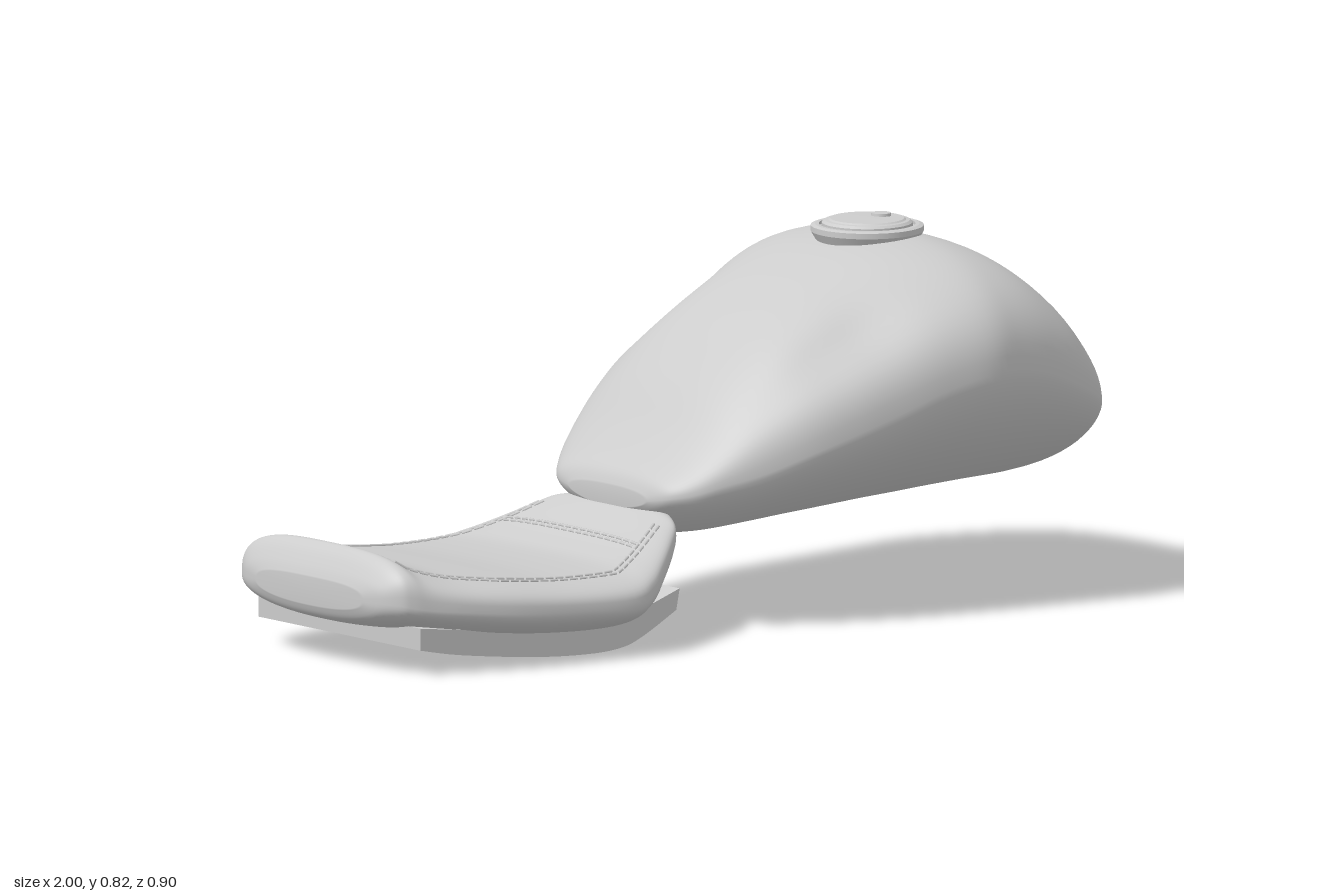
import * as THREE from 'three';
import { mergeGeometries } from 'three/addons/utils/BufferGeometryUtils.js';

// Smoothly resample rows of station values (Catmull-Rom)
function resample(rows, steps) {
  const out = [];
  const n = rows.length - 1;
  for (let i = 0; i <= n * steps; i++) {
    const k = Math.min(Math.floor(i / steps), n - 1);
    const t = i / steps - k;
    const [a, b, c, d] = [rows[Math.max(k - 1, 0)], rows[k], rows[k + 1], rows[Math.min(k + 2, n)]];
    out.push(b.map((v, j) => v + 0.5 * t * (c[j] - a[j]
      + t * (2 * a[j] - 5 * v + 4 * c[j] - d[j] + t * (3 * (v - c[j]) + d[j] - a[j])))));
  }
  return out;
}

// Loft rounded sections along x; station = [x, bottom, widest height, top, half width]
function loft(stations, upper, lower, shape = () => 1, around = 72) {
  const pos = [], index = [];
  for (const [x, y0, ym, y1, w] of stations) {
    for (let j = 0; j < around; j++) {
      const a = (j / around) * Math.PI * 2;
      const c = Math.cos(a), s = Math.sin(a);
      const p = 2 / (s >= 0 ? upper : lower);
      const f = shape(x, a);
      const h = s >= 0 ? y1 - ym : ym - y0;
      pos.push(x, ym + f * h * Math.sign(s) * Math.abs(s) ** p, f * w * Math.sign(c) * Math.abs(c) ** p);
    }
  }
  const last = stations.length - 1;
  for (let i = 0; i < last; i++) {
    for (let j = 0; j < around; j++) {
      const k = (j + 1) % around;
      const a = i * around + j, b = a + around, c = i * around + k, d = c + around;
      index.push(a, b, c, c, b, d);
    }
  }
  // End caps
  for (const i of [0, last]) {
    const centre = pos.length / 3;
    pos.push(stations[i][0], stations[i][2], 0);
    for (let j = 0; j < around; j++) {
      const a = i * around + j, b = i * around + (j + 1) % around;
      if (i === 0) index.push(centre, a, b);
      else index.push(centre, b, a);
    }
  }
  const g = new THREE.BufferGeometry();
  g.setAttribute('position', new THREE.Float32BufferAttribute(pos, 3));
  g.setIndex(index);
  g.computeVertexNormals();
  return g;
}

export function createModel() {
  const model = new THREE.Group();
  const grey = new THREE.MeshStandardMaterial({ color: 0xcccccc });
  grey.name = 'plain grey';
  const add = (name, geometry, parent = model) => {
    const mesh = new THREE.Mesh(geometry, grey);
    mesh.name = name;
    parent.add(mesh);
    return mesh;
  };

  // Fuel tank: teardrop with a knee hollow on each side
  const tank = resample([
    [-0.18, 0.26, 0.285, 0.305, 0.13],
    [-0.165, 0.24, 0.295, 0.335, 0.19],
    [-0.13, 0.212, 0.305, 0.37, 0.235],
    [-0.08, 0.193, 0.325, 0.425, 0.275],
    [0, 0.188, 0.35, 0.52, 0.32],
    [0.1, 0.193, 0.39, 0.61, 0.363],
    [0.2, 0.199, 0.425, 0.675, 0.39],
    [0.3, 0.204, 0.46, 0.723, 0.41],
    [0.42, 0.21, 0.505, 0.765, 0.433],
    [0.53, 0.215, 0.53, 0.783, 0.45],
    [0.62, 0.219, 0.528, 0.779, 0.436],
    [0.72, 0.223, 0.505, 0.745, 0.415],
    [0.82, 0.227, 0.465, 0.675, 0.385],
    [0.9, 0.238, 0.43, 0.585, 0.34],
    [0.95, 0.262, 0.405, 0.51, 0.29],
    [0.985, 0.308, 0.39, 0.445, 0.235],
    [1, 0.35, 0.38, 0.405, 0.16],
  ], 5);
  const kneeHollow = (x, a) => {
    const side = a > Math.PI / 2 ? Math.PI - a : a;
    const along = (x - 0.25) / (x < 0.25 ? 0.2 : 0.15);
    return 1 - 0.085 * Math.exp(-along * along - ((side - 0.72) / 0.33) ** 2);
  };
  add('fuelTank', loft(tank, 2.4, 1.75, kneeHollow));

  // Filler cap with stepped rings and a small lock button
  const cap = new THREE.Group();
  cap.name = 'fillerCap';
  cap.position.set(0.535, 0, 0);
  model.add(cap);
  const lathe = pts => new THREE.LatheGeometry(pts.map(p => new THREE.Vector2(...p)), 48).toNonIndexed();
  const turned = pts => {
    const g = mergeGeometries(pts.slice(1).map((p, i) => lathe([pts[i], p])));
    return g;
  };
  add('capFlange', turned([[0.105, 0.755], [0.122, 0.785], [0.122, 0.797], [0.113, 0.8], [0.104, 0.8], [0.104, 0.793], [0.09, 0.793]]), cap);
  add('capLid', turned([[0.098, 0.785], [0.098, 0.803], [0.092, 0.808], [0.084, 0.809], [0.08, 0.812], [0, 0.814]]), cap);
  const button = add('lockButton', new THREE.CylinderGeometry(0.021, 0.022, 0.008, 32), cap);
  button.position.set(0.038, 0.815, 0);

  // Seat cushion: scooped pad with a raised tail
  const cushion = resample([
    [-1, 0.13, 0.16, 0.19, 0.18],
    [-0.988, 0.108, 0.16, 0.215, 0.235],
    [-0.965, 0.097, 0.158, 0.248, 0.275],
    [-0.94, 0.09, 0.152, 0.26, 0.292],
    [-0.9, 0.083, 0.145, 0.236, 0.306],
    [-0.82, 0.068, 0.136, 0.213, 0.33],
    [-0.7, 0.05, 0.124, 0.2, 0.355],
    [-0.55, 0.036, 0.115, 0.185, 0.37],
    [-0.4, 0.034, 0.112, 0.185, 0.378],
    [-0.33, 0.05, 0.13, 0.2, 0.355],
    [-0.27, 0.083, 0.16, 0.222, 0.312],
    [-0.2, 0.125, 0.2, 0.254, 0.255],
    [-0.165, 0.175, 0.227, 0.268, 0.22],
    [-0.14, 0.225, 0.248, 0.268, 0.165],
  ], 5);
  const seat = new THREE.Group();
  seat.name = 'seat';
  model.add(seat);
  add('cushion', loft(cushion, 3.2, 2.3), seat);

  // Base pan under the cushion
  const pan = new THREE.Shape();
  pan.moveTo(-0.915, 0.057);
  pan.splineThru([[-0.8, 0.035], [-0.6, 0.01], [-0.45, 0.001], [-0.36, 0.006], [-0.3, 0.026], [-0.212, 0.072]]
    .map(p => new THREE.Vector2(...p)));
  [[-0.203, 0.118], [-0.3, 0.085], [-0.4, 0.06], [-0.6, 0.065], [-0.915, 0.105]].forEach(p => pan.lineTo(...p));
  const panGeometry = new THREE.ExtrudeGeometry(pan, { depth: 0.56, bevelEnabled: false, curveSegments: 24 });
  panGeometry.translate(0, 0, -0.28);
  add('basePan', panGeometry, seat);

  // Height of the cushion top at a point
  const cushionTop = (x, z) => {
    const i = Math.max(1, cushion.findIndex(s => s[0] >= x));
    const [a, b] = [cushion[i - 1], cushion[i]];
    const t = (x - a[0]) / (b[0] - a[0]);
    const [, , ym, y1, w] = a.map((v, j) => v + t * (b[j] - v));
    return ym + (y1 - ym) * Math.max(0, 1 - (Math.abs(z) / w) ** 3.2) ** (1 / 3.2);
  };

  // Double rows of raised stitches following the cushion surface
  const stitches = [];
  const sew = points => {
    for (let i = 1; i < points.length; i++) {
      const [a, b] = [points[i - 1], points[i]];
      const count = Math.round(Math.hypot(b[0] - a[0], b[1] - a[1]) / 0.025);
      const at = t => {
        const x = a[0] + (b[0] - a[0]) * t, z = a[1] + (b[1] - a[1]) * t;
        return new THREE.Vector3(x, cushionTop(x, z) + 0.001, z);
      };
      for (let k = 0; k < count; k++) {
        const curve = new THREE.LineCurve3(at((k + 0.1) / count), at((k + 0.9) / count));
        stitches.push(new THREE.TubeGeometry(curve, 1, 0.0035, 6));
      }
    }
  };
  for (const side of [-1, 1]) {
    for (const inset of [0, 0.016]) {
      sew([[-0.93, 0.222], [-0.7, 0.282], [-0.39, 0.3], [-0.2, 0.205]].map(([x, z]) => [x, side * (z - inset)]));
    }
  }
  for (const x of [-0.286, -0.274]) sew([[x, -0.225], [x, 0.225]]);
  add('stitching', mergeGeometries(stitches), seat);

  return model;
}
